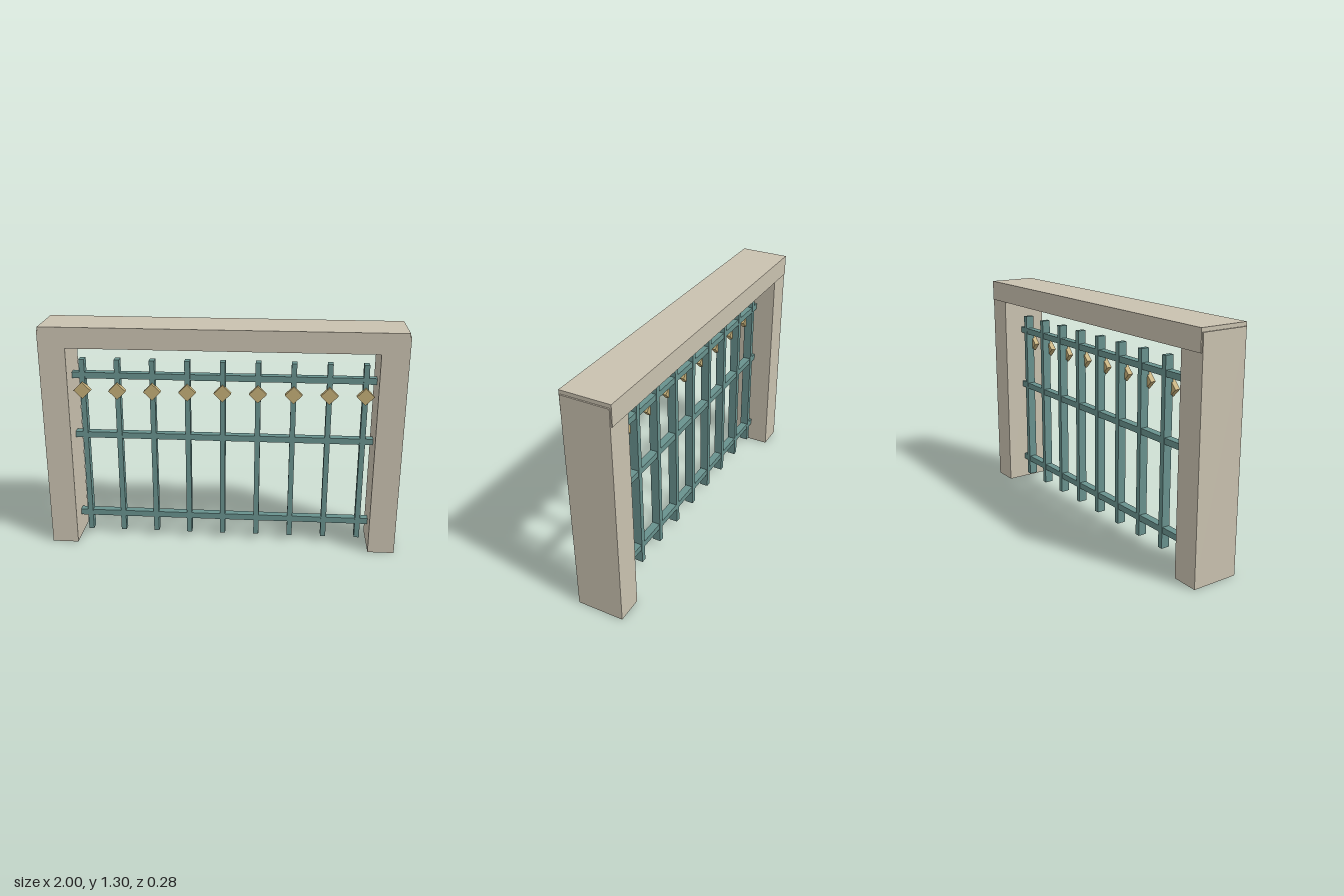
import * as THREE from 'three';

export function createModel() {
  const model = new THREE.Group();
  model.name = 'gateway';

  const stone = new THREE.MeshStandardMaterial({ color: 0xc9c1af });
  stone.name = 'pale stone';
  const iron = new THREE.MeshStandardMaterial({ color: 0x68918d });
  iron.name = 'teal iron';
  const brass = new THREE.MeshStandardMaterial({ color: 0xc2ac76 });
  brass.name = 'dull brass';

  // Box given by its size and centre
  function box(name, material, [w, h, d], [x, y, z], parent = model) {
    const mesh = new THREE.Mesh(new THREE.BoxGeometry(w, h, d), material);
    mesh.name = name;
    mesh.position.set(x, y, z);
    parent.add(mesh);
    return mesh;
  }

  // Stone frame: two posts under a slightly deeper lintel
  box('leftPost', stone, [0.15, 1.28, 0.267], [0.925, 0.64, 0]);
  box('rightPost', stone, [0.15, 1.28, 0.267], [-0.925, 0.64, 0]);
  box('lintel', stone, [1.985, 0.117, 0.28], [0, 1.2425, 0]);

  const grille = new THREE.Group();
  grille.name = 'grille';
  model.add(grille);

  // Horizontal rails between the posts
  for (const y of [0.142, 0.641, 0.998]) {
    box('rail', iron, [1.7, 0.035, 0.044], [0, y, 0], grille);
  }

  // Upright bars, each with a diamond stud on the front
  for (let i = -4; i <= 4; i++) {
    const x = i * 0.198;
    box('bar', iron, [0.03, 1.055, 0.05], [x, 0.5635, 0], grille);
    const stud = box('diamondStud', brass, [0.069, 0.069, 0.03], [x, 0.914, 0.03], grille);
    stud.rotation.z = Math.PI / 4;
  }

  return model;
}
